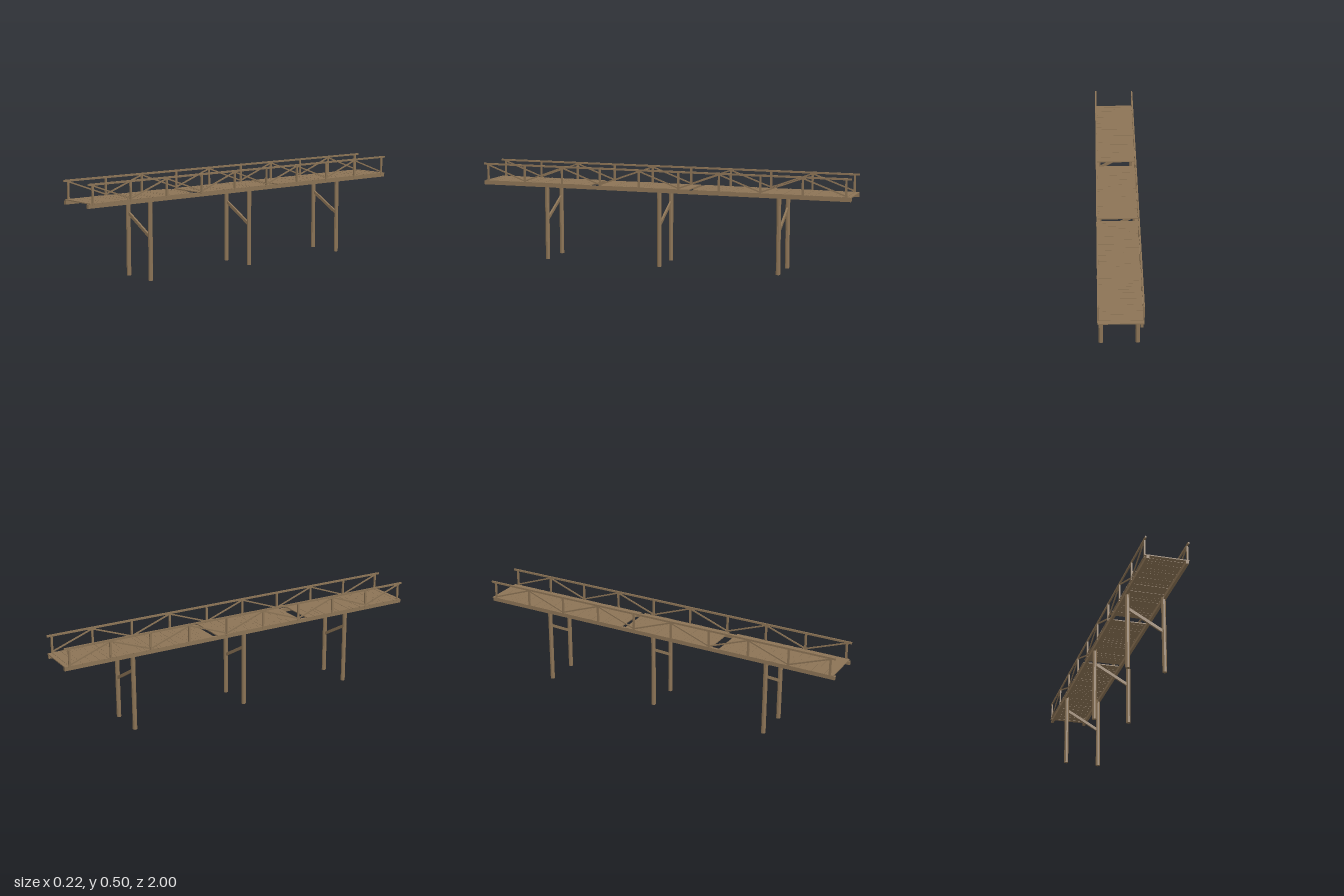
import * as THREE from 'three';

export function createModel() {
  const bridge = new THREE.Group();
  bridge.name = 'woodenFootbridge';
  const wood = new THREE.MeshStandardMaterial({ color: 0x8b7355, flatShading: true });
  wood.name = 'weatheredWood';

  // small seeded generator, returns -1..1
  let seed = 7;
  const jitter = () => {
    seed = (seed * 16807) % 2147483647;
    return (seed / 2147483647) * 2 - 1;
  };

  const add = (name, geometry, x, y, z) => {
    const mesh = new THREE.Mesh(geometry, wood);
    mesh.name = name;
    mesh.position.set(x, y, z);
    bridge.add(mesh);
    return mesh;
  };
  const box = (name, w, h, d, x, y, z) => add(name, new THREE.BoxGeometry(w, h, d), x, y, z);

  // square bar running between two points
  const beam = (name, a, b, w, h) => {
    const mesh = box(name, w, h, a.distanceTo(b), 0, 0, 0);
    mesh.position.copy(a).add(b).multiplyScalar(0.5);
    mesh.lookAt(b);
    return mesh;
  };

  // deck planks, slightly crooked, with three missing
  const pitch = 0.02264;
  const count = 88;
  const missing = [36, 59, 60];
  for (let i = 0; i < count; i++) {
    if (missing.includes(i)) continue;
    const end = i === 0 || i === count - 1;
    const plank = box('deckPlank', 0.214, 0.005, 0.0222, 0, 0.409 + 0.0007 * jitter(), -1 + pitch * (i + 0.5));
    if (!end) plank.rotation.y = 0.009 * jitter();
  }

  // supports: octagonal piles in pairs with a slanting brace
  const pileGeometry = new THREE.CylinderGeometry(0.0115, 0.0115, 0.4, 8);
  pileGeometry.rotateY(Math.PI / 8);
  for (const z of [-0.635, 0, 0.635]) {
    for (const side of [-1, 1]) add('pile', pileGeometry, side * 0.091, 0.2, z);
    beam('pileBrace', new THREE.Vector3(-0.088, 0.315, z), new THREE.Vector3(0.088, 0.215, z), 0.01, 0.015);
  }

  // stringers and railings on both sides
  const postTotal = 10;
  const postZ = (i) => 0.975 - (i * 1.95) / (postTotal - 1);
  for (const side of [-1, 1]) {
    const x = side * 0.1035;
    box('stringer', 0.014, 0.019, 2, side * 0.0955, 0.3975, 0);
    box('handrail', 0.007, 0.01, 2, x, 0.5, 0);
    for (let i = 0; i < postTotal; i++) {
      box('railPost', 0.008, 0.098, 0.01, x, 0.451, postZ(i));
      if (i === postTotal - 1) continue;
      // diagonals zigzag from top to bottom
      const [y0, y1] = i % 2 ? [0.416, 0.495] : [0.495, 0.416];
      beam('railDiagonal', new THREE.Vector3(x, y0, postZ(i)), new THREE.Vector3(x, y1, postZ(i + 1)), 0.005, 0.007);
    }
  }
  return bridge;
}
